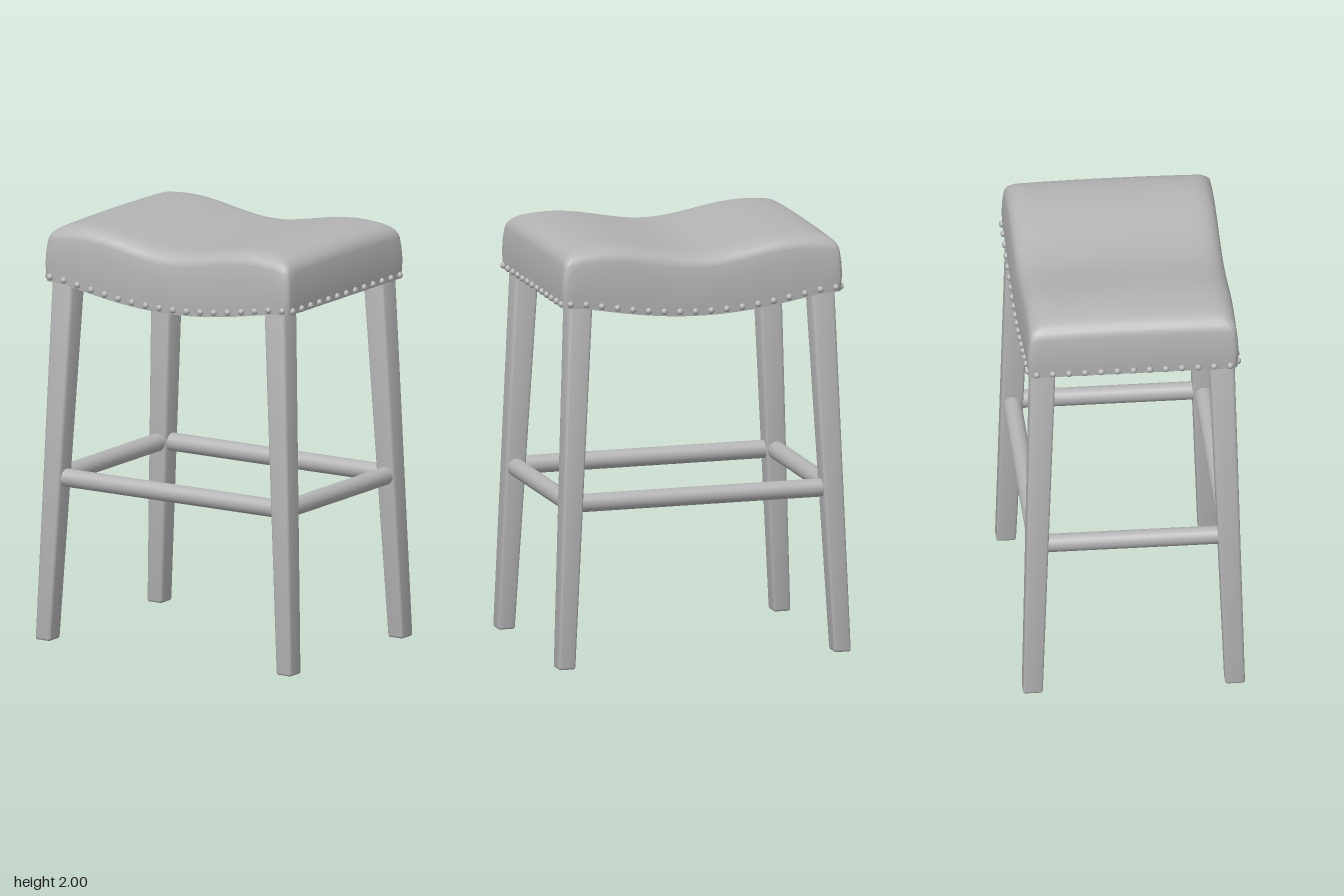
import * as THREE from 'three';
import { toCreasedNormals } from 'three/addons/utils/BufferGeometryUtils.js';
import { RoundedBoxGeometry } from 'three/addons/geometries/RoundedBoxGeometry.js';

const HX = 0.68, HZ = 0.49;
const lerp = THREE.MathUtils.lerp;

// Saddle curves of the cushion
const topY = (x, z) => 1.972 - 0.03 * Math.cos(Math.PI * x / 0.48) - 0.008 * (z / HZ) ** 2;
const bottomY = (x) => 1.72 - 0.072 * Math.max(0, 1 - (x / 0.62) ** 2) ** 1.3;

// Evenly subdivided rounded rectangle
function outline(hx, hz, r) {
  const pts = [];
  const corners = [[1, 1, 0], [-1, 1, 1], [-1, -1, 2], [1, -1, 3]];
  corners.forEach(([sx, sz, q], i) => {
    for (let k = 0; k <= 5; k++) {
      const a = (q + k / 5) * Math.PI / 2;
      pts.push([sx * (hx - r) + r * Math.cos(a), sz * (hz - r) + r * Math.sin(a)]);
    }
    const [nx, nz] = corners[(i + 1) % 4];
    const a = (q + 1) * Math.PI / 2;
    const from = pts[pts.length - 1];
    const to = [nx * (hx - r) + r * Math.cos(a), nz * (hz - r) + r * Math.sin(a)];
    for (let k = 1; k < 28; k++) pts.push([lerp(from[0], to[0], k / 28), lerp(from[1], to[1], k / 28)]);
  });
  return pts;
}

function seatGeometry() {
  const rings = [];
  const base = outline(HX, HZ, 0.025);
  // Underside, from centre to rim
  for (const s of [0.001, 0.25, 0.5, 0.75, 0.93, 1])
    rings.push(base.map(([x, z]) => [x * s, bottomY(x * s), z * s]));
  // Sides, with a slight bulge
  for (const [t, out] of [[0.2, 0.003], [0.45, 0.005], [0.75, 0.002], [1, -0.004]])
    rings.push(outline(HX + out, HZ + out, 0.025)
      .map(([x, z]) => [x, lerp(bottomY(x), topY(x, z) - 0.06, t), z]));
  // Rounded upper edge
  for (const [inset, drop] of [[0.008, 0.044], [0.018, 0.029], [0.034, 0.016], [0.055, 0.007], [0.085, 0.001]])
    rings.push(outline(HX - inset, HZ - inset, 0.027)
      .map(([x, z]) => [x, topY(x, z) - drop, z]));
  // Top, from edge to centre
  const inner = outline(HX - 0.085, HZ - 0.085, 0.027);
  for (const s of [0.9, 0.78, 0.64, 0.5, 0.36, 0.22, 0.1, 0.001])
    rings.push(inner.map(([x, z]) => [x * s, topY(x * s, z * s), z * s]));

  const n = base.length, index = [];
  for (let r = 0; r < rings.length - 1; r++)
    for (let i = 0; i < n; i++) {
      const a = r * n + i, b = r * n + (i + 1) % n;
      index.push(a, a + n, b, b, a + n, b + n);
    }
  const geo = new THREE.BufferGeometry();
  geo.setAttribute('position', new THREE.Float32BufferAttribute(rings.flat(2), 3));
  geo.setIndex(index);
  return toCreasedNormals(geo, 0.7);
}

// Splayed square leg, wider at the top
function legGeometry(sx, sz) {
  const H = 1.75;
  const geo = new RoundedBoxGeometry(1, H, 1, 2, 0.012);
  const box = new RoundedBoxGeometry(0.09, H, 0.09, 2, 0.012);
  geo.copy(box);
  const p = geo.attributes.position;
  for (let i = 0; i < p.count; i++) {
    const t = (p.getY(i) + H / 2) / H;
    const u = p.getX(i) / 0.09, v = p.getZ(i) / 0.09;
    p.setXYZ(i,
      sx * lerp(0.675, 0.592, t) + u * lerp(0.083, 0.115, t),
      t * H,
      sz * lerp(0.475, 0.42, t) + v * lerp(0.093, 0.117, t));
  }
  return toCreasedNormals(geo, 0.6);
}

export function createModel() {
  const group = new THREE.Group();
  group.name = 'saddleStool';
  const grey = new THREE.MeshStandardMaterial({ color: 0xb4b4b4 });
  grey.name = 'plainGrey';

  const add = (geo, name, x = 0, y = 0, z = 0) => {
    const mesh = new THREE.Mesh(geo, grey);
    mesh.name = name;
    mesh.position.set(x, y, z);
    group.add(mesh);
    return mesh;
  };

  add(seatGeometry(), 'cushion');

  for (const [sz, end] of [[1, 'front'], [-1, 'back']])
    for (const [sx, side] of [[1, 'Left'], [-1, 'Right']])
      add(legGeometry(sx, sz), `${end}${side}Leg`);

  // Round stretchers between the legs
  for (const s of [1, -1]) {
    add(new THREE.CylinderGeometry(0.043, 0.043, 1.24, 24), s > 0 ? 'frontRail' : 'backRail', 0, 0.78, s * 0.45)
      .rotation.z = Math.PI / 2;
    add(new THREE.CylinderGeometry(0.043, 0.043, 0.86, 24), s > 0 ? 'leftRail' : 'rightRail', s * 0.638, 0.78, 0)
      .rotation.x = Math.PI / 2;
  }

  // Nailheads along the lower rim
  const nail = new THREE.SphereGeometry(0.016, 12, 8);
  for (const s of [1, -1]) {
    for (let i = 0; i < 18; i++) {
      const x = lerp(-0.65, 0.65, i / 17);
      add(nail, 'nailhead', x, bottomY(x) + 0.022, s * (HZ + 0.003));
    }
    for (let i = 0; i < 13; i++)
      add(nail, 'nailhead', s * (HX + 0.003), 1.738, lerp(-0.455, 0.455, i / 12));
  }
  return group;
}
